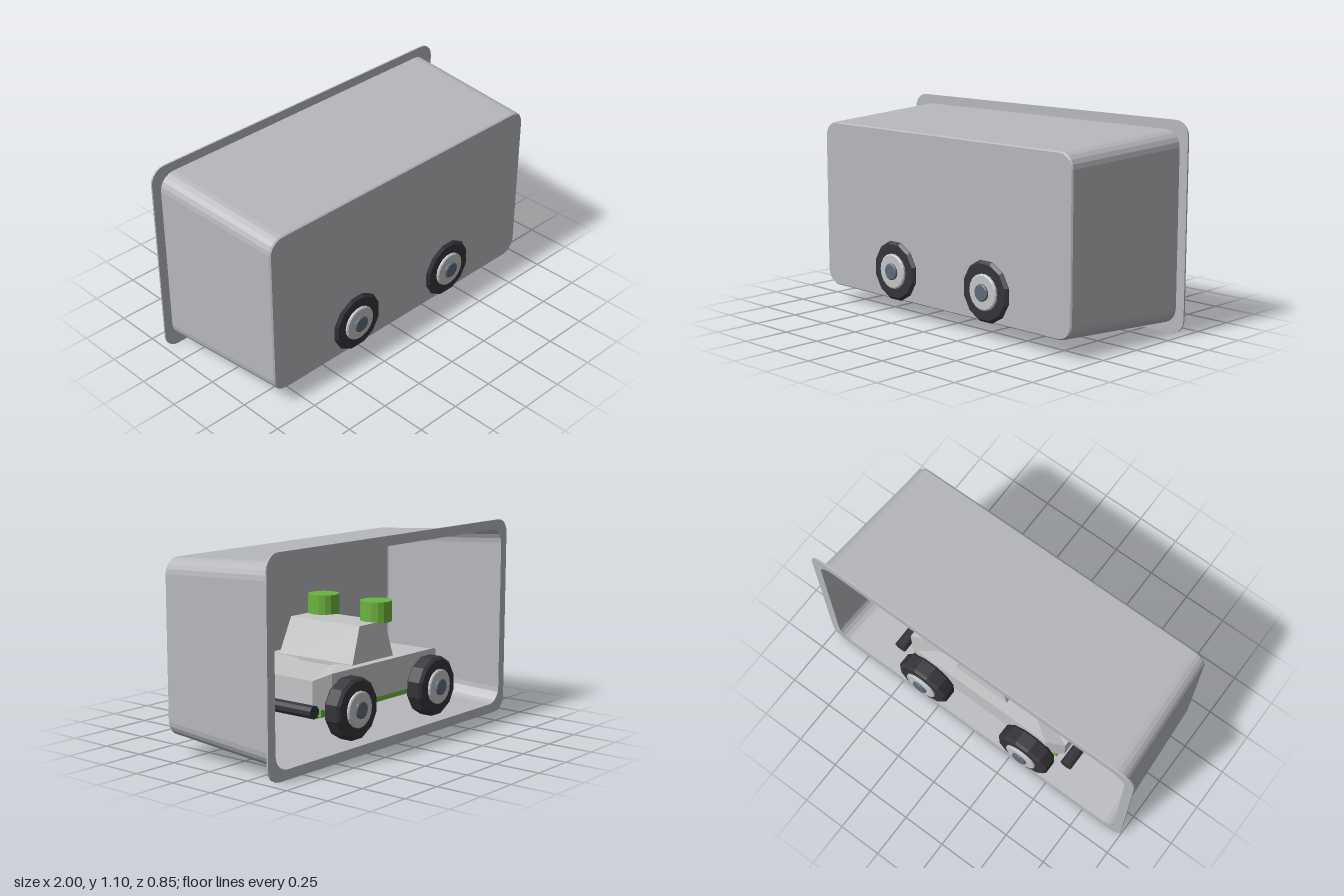
import * as THREE from 'three';

const mat = (name, color, extra = {}) =>
  Object.assign(new THREE.MeshStandardMaterial({ color, flatShading: true, ...extra }), { name });

// Skin a list of equal-length rings; rings run counter-clockwise seen from the last one
function loft(rings, capStart, capEnd) {
  const pos = [];
  const n = rings[0].length;
  const tri = (a, b, c) => pos.push(...a, ...b, ...c);
  for (let i = 0; i + 1 < rings.length; i++) {
    for (let j = 0; j < n; j++) {
      const k = (j + 1) % n;
      const [a, b, c, d] = [rings[i][j], rings[i][k], rings[i + 1][k], rings[i + 1][j]];
      tri(a, b, c);
      tri(a, c, d);
    }
  }
  const cap = (ring, flip) => {
    const mid = [0, 1, 2].map(q => ring.reduce((s, p) => s + p[q], 0) / n);
    for (let j = 0; j < n; j++) {
      const k = (j + 1) % n;
      if (flip) tri(mid, ring[k], ring[j]);
      else tri(mid, ring[j], ring[k]);
    }
  };
  if (capStart) cap(rings[0], true);
  if (capEnd) cap(rings[rings.length - 1], false);
  const g = new THREE.BufferGeometry();
  g.setAttribute('position', new THREE.Float32BufferAttribute(pos, 3));
  g.computeVertexNormals();
  return g;
}

// Rounded rectangle centred on the tray axis (y = 0.55), as [x, y, z] points
function roundedRing(hw, hh, r, z, steps = 5) {
  const pts = [];
  [[1, 1], [-1, 1], [-1, -1], [1, -1]].forEach(([sx, sy], c) => {
    for (let i = 0; i <= steps; i++) {
      const a = (c + i / steps) * Math.PI / 2;
      pts.push([sx * (hw - r) + r * Math.cos(a), 0.55 + sy * (hh - r) + r * Math.sin(a), z]);
    }
  });
  return pts;
}

export function createModel() {
  const model = new THREE.Group();
  model.name = 'carInTray';

  const trayGrey = mat('trayGrey', 0xb6b8bc, { side: THREE.DoubleSide });
  const bodyGrey = mat('bodyGrey', 0xc4c5c7);
  const tyreBlack = mat('tyreBlack', 0x35353a);
  const capBlue = mat('capBlue', 0x5f6b7a);
  const green = mat('green', 0x6db33f);

  const add = (parent, name, geometry, material, x = 0, y = 0, z = 0) => {
    const m = new THREE.Mesh(geometry, material);
    m.name = name;
    m.position.set(x, y, z);
    parent.add(m);
    return m;
  };

  // Tray: tapered open shell with a closed front
  const tray = new THREE.Group();
  tray.name = 'tray';
  model.add(tray);
  add(tray, 'trayShell', loft([
    roundedRing(0.95, 0.5, 0.085, -0.38),
    roundedRing(0.908, 0.457, 0.08, 0.375),
    roundedRing(0.902, 0.451, 0.076, 0.383),
  ], false, true), trayGrey);

  // Flange around the open back
  const toPath = ring => ring.map(p => new THREE.Vector2(p[0], p[1]));
  const rim = new THREE.Shape(toPath(roundedRing(1, 0.55, 0.08, 0)));
  rim.holes.push(new THREE.Path(toPath(roundedRing(0.948, 0.498, 0.085, 0))));
  add(tray, 'trayFlange',
    new THREE.ExtrudeGeometry(rim, { depth: 0.009, bevelEnabled: false }), trayGrey, 0, 0, -0.385);

  const car = new THREE.Group();
  car.name = 'car';
  model.add(car);

  // Hull with clipped corners, slightly higher in the middle
  const plan = [[0.52, 0.25], [0.52, -0.25], [0.435, -0.305], [-0.43, -0.305],
    [-0.52, -0.25], [-0.52, 0.25], [-0.43, 0.305], [0.435, 0.305]];
  add(car, 'hull', loft([
    plan.map(([x, z]) => [x, 0.25, z]),
    plan.map(([x, z]) => [x, Math.abs(x) > 0.5 ? 0.405 : 0.435, z]),
  ], true, true), bodyGrey);

  // Cabin
  const box = (x0, x1, hz, y) => [[x1, y, hz], [x1, y, -hz], [x0, y, -hz], [x0, y, hz]];
  add(car, 'cabin', loft([
    box(-0.133, 0.206, 0.25, 0.41), box(-0.133, 0.206, 0.25, 0.435), box(-0.08, 0.13, 0.235, 0.625),
  ], true, true), bodyGrey);

  // Underside plates
  add(car, 'chassisPlate', new THREE.BoxGeometry(0.98, 0.04, 0.56), green, 0, 0.235, 0);
  add(car, 'underPlate', new THREE.BoxGeometry(0.8, 0.04, 0.36), tyreBlack, 0, 0.2, 0);

  // Roof lamps
  for (const s of [-1, 1]) {
    add(car, 'roofLamp', new THREE.CylinderGeometry(0.085, 0.085, 0.11, 16), green, -0.075, 0.675, s * 0.18);
  }

  // Bumpers and axles
  for (const s of [-1, 1]) {
    add(car, 'bumper', new THREE.CylinderGeometry(0.035, 0.035, 0.6, 10), tyreBlack, s * 0.565, 0.26, 0)
      .rotation.x = Math.PI / 2;
    add(car, 'bumperMount', new THREE.BoxGeometry(0.12, 0.04, 0.3), tyreBlack, s * 0.5, 0.245, 0);
    add(car, 'axle', new THREE.CylinderGeometry(0.035, 0.035, 0.68, 10), tyreBlack, s * 0.34, 0.25, 0)
      .rotation.x = Math.PI / 2;
  }

  // Wheels: local +y points outward along the axle
  const lathe = (pts, n) => new THREE.LatheGeometry(pts.map(p => new THREE.Vector2(...p)), n, Math.PI / n);
  const tyre = lathe([[0, 0.3], [0.15, 0.3], [0.163, 0.315], [0.163, 0.386], [0.148, 0.4], [0, 0.4]], 12);
  const hub = lathe([[0.095, 0.395], [0.095, 0.409], [0.088, 0.414], [0, 0.414]], 18);
  const cap = lathe([[0.045, 0.41], [0.045, 0.422], [0.04, 0.426], [0, 0.426]], 14);
  for (const x of [-0.34, 0.34]) {
    for (const s of [-1, 1]) {
      const wheel = new THREE.Group();
      wheel.name = 'wheel';
      wheel.position.set(x, 0.25, 0);
      wheel.rotation.x = s * Math.PI / 2;
      add(wheel, 'tyre', tyre, tyreBlack);
      add(wheel, 'hub', hub, bodyGrey);
      add(wheel, 'hubCap', cap, capBlue);
      car.add(wheel);
    }
  }
  return model;
}
